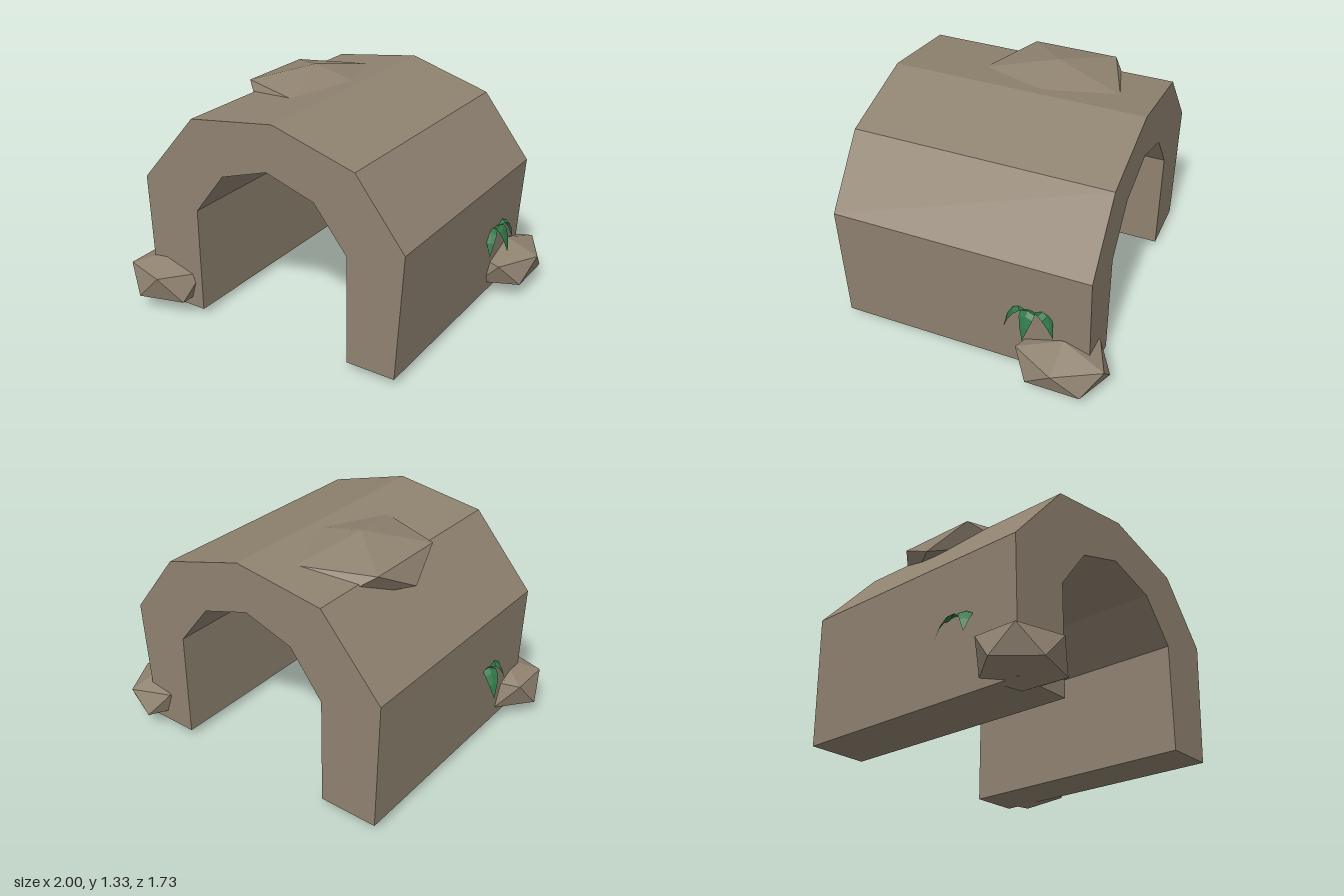
import * as THREE from 'three';
import { ConvexGeometry } from 'three/addons/geometries/ConvexGeometry.js';

const V = (x, y, z) => new THREE.Vector3(x, y, z);

// Squashed twelve-point boulder: bottom tip, lower ring, upper ring, top tip.
// turn = 0 points an upper corner towards +x.
function boulder(name, [x, z], [rx, rz], [bottom, low, high, top], material) {
  const points = [V(x, bottom, z), V(x, top, z)];
  for (let i = 0; i < 10; i++) {
    const a = (i * Math.PI) / 5;
    points.push(V(x + rx * Math.cos(a), i % 2 ? low : high, z + rz * Math.sin(a)));
  }
  const mesh = new THREE.Mesh(new ConvexGeometry(points), material);
  mesh.name = name;
  return mesh;
}

// Drooping leaf: a folded strip swept along an arc from base to tip.
function leaf(base, tip, halfWidth, material) {
  const control = base.clone().lerp(tip, 0.65).setY(0.57);
  const curve = new THREE.QuadraticBezierCurve3(base, control, tip);
  const side = V(tip.z - base.z, 0, base.x - tip.x).normalize();
  const widths = [0.25, 0.7, 1, 0.95, 0.6, 0];
  const positions = [];
  const index = [];
  widths.forEach((w, i) => {
    const p = curve.getPoint(i / (widths.length - 1));
    for (const s of [-1, 0, 1]) {
      const q = p.clone().addScaledVector(side, s * w * halfWidth);
      q.y -= Math.abs(s) * w * 0.012;
      positions.push(q.x, q.y, q.z);
    }
    if (i === 0) return;
    for (const c of [0, 1]) {
      const a = (i - 1) * 3 + c;
      index.push(a, a + 1, a + 3, a + 1, a + 4, a + 3);
    }
  });
  const geometry = new THREE.BufferGeometry();
  geometry.setAttribute('position', new THREE.Float32BufferAttribute(positions, 3));
  geometry.setIndex(index);
  geometry.computeVertexNormals();
  const mesh = new THREE.Mesh(geometry, material);
  mesh.name = 'leaf';
  return mesh;
}

function plant(name, base, tips, material) {
  const group = new THREE.Group();
  group.name = name;
  for (const [tip, halfWidth] of tips) group.add(leaf(base, tip, halfWidth, material));
  return group;
}

export function createModel() {
  const model = new THREE.Group();
  model.name = 'stoneArch';

  const stone = new THREE.MeshStandardMaterial({ color: 0x8f8270, flatShading: true });
  stone.name = 'stone';
  const green = new THREE.MeshStandardMaterial({ color: 0x2d7645, flatShading: true, side: THREE.DoubleSide });
  green.name = 'leafGreen';

  // Faceted tunnel, slightly uneven from side to side
  const outline = [
    [0.49, 0.04], [0.78, 0.04], [0.825, 0.77], [0.535, 1.14], [0.04, 1.285], [-0.495, 1.21], [-0.86, 0.795],
    [-0.84, 0.04], [-0.495, 0.04], [-0.495, 0.67], [-0.3, 0.92], [-0.005, 1.015], [0.29, 0.92], [0.49, 0.67],
  ];
  const shape = new THREE.Shape(outline.map(([x, y]) => new THREE.Vector2(x, y)));
  const arch = new THREE.Mesh(new THREE.ExtrudeGeometry(shape, { depth: 1.465, bevelEnabled: false }), stone);
  arch.position.z = -0.763;
  arch.name = 'arch';
  model.add(arch);

  // Boulders at two feet and one sunk into the roof
  model.add(
    boulder('frontBoulder', [-0.765, 0.66], [0.237, 0.212], [0, 0.097, 0.25, 0.322], stone),
    boulder('backBoulder', [0.8, -0.617], [0.2, 0.262], [0.018, 0.097, 0.23, 0.307], stone),
    boulder('roofBoulder', [-0.28, -0.153], [0.36, 0.422], [1.04, 1.12, 1.253, 1.334], stone),
  );

  // Leaves growing out of the side walls
  model.add(
    plant('backPlant', V(0.77, 0.42, -0.43), [
      [V(0.835, 0.32, -0.288), 0.035],
      [V(0.89, 0.315, -0.418), 0.042],
      [V(0.845, 0.345, -0.575), 0.035],
    ], green),
    plant('frontPlant', V(-0.8, 0.42, 0.34), [
      [V(-0.94, 0.32, 0.25), 0.042],
      [V(-0.915, 0.33, 0.42), 0.04],
    ], green),
  );

  return model;
}
